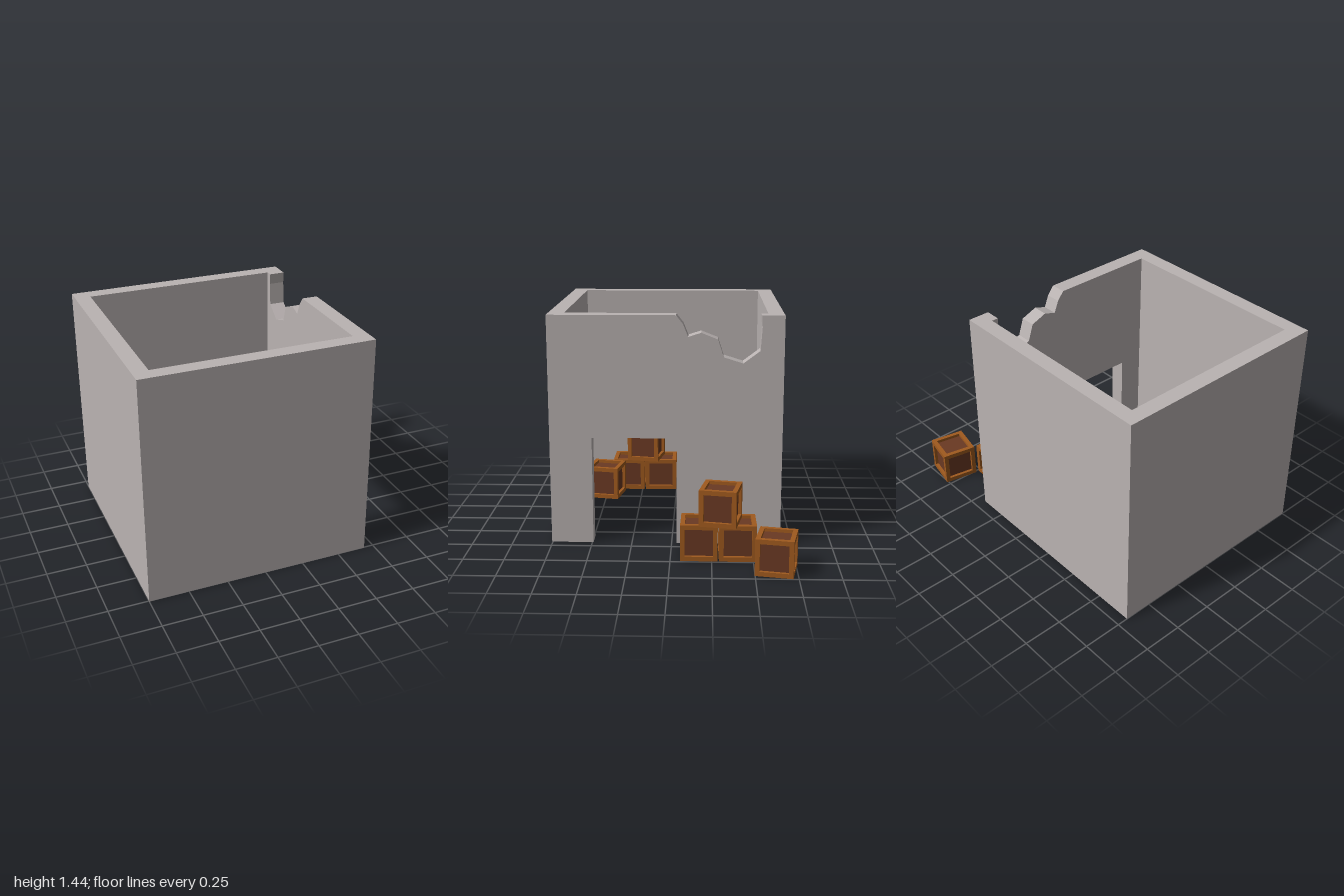
import * as THREE from 'three';

const H = 1.44; // wall height
const SIZE = 0.225, BEAM = 0.028, INSET = 0.02; // crate dimensions

const mat = (name, color) => {
  const m = new THREE.MeshStandardMaterial({ color });
  m.name = name;
  return m;
};

const shapeOf = (pts) => new THREE.Shape(pts.map(([x, y]) => new THREE.Vector2(x, y)));

const extrude = (pts, depth) =>
  new THREE.ExtrudeGeometry(shapeOf(pts), { depth, bevelEnabled: false });

function addMesh(parent, name, geometry, material) {
  const mesh = new THREE.Mesh(geometry, material);
  mesh.name = name;
  parent.add(mesh);
  return mesh;
}

// Crate: recessed panel core inside a frame of twelve beams
function makeCrate(panel, frame) {
  const crate = new THREE.Group();
  const core = SIZE - 2 * INSET, inner = SIZE - 2 * BEAM, o = (SIZE - BEAM) / 2;
  addMesh(crate, 'cratePanels', new THREE.BoxGeometry(core, core, core), panel);
  const upright = new THREE.BoxGeometry(BEAM, SIZE, BEAM);
  const railX = new THREE.BoxGeometry(inner, BEAM, BEAM);
  const railZ = new THREE.BoxGeometry(BEAM, BEAM, inner);
  for (const a of [-o, o]) {
    for (const b of [-o, o]) {
      addMesh(crate, 'crateUpright', upright, frame).position.set(a, 0, b);
      addMesh(crate, 'crateRailAcross', railX, frame).position.set(0, a, b);
      addMesh(crate, 'crateRailAlong', railZ, frame).position.set(a, b, 0);
    }
  }
  return crate;
}

export function createModel() {
  const stone = mat('wallGrey', 0xbab3b2);
  const panel = mat('darkWood', 0x6a3923);
  const frame = mat('frameWood', 0xa05a1e);
  const model = new THREE.Group();
  model.name = 'ruinedRoomWithCrates';

  // Front, left-hand and back walls as one U plan, points are (x, -z)
  const u = extrude([
    [0.335, -0.755], [0.335, -0.657], [-0.902, -0.657], [-0.902, 0.583],
    [0.335, 0.583], [0.335, 0.68], [-1, 0.68], [-1, -0.755],
  ], H);
  u.rotateX(-Math.PI / 2);
  addMesh(model, 'threeWalls', u, stone);

  // Wall with doorway and broken top edge, points are (-z, y)
  const side = extrude([
    [-0.755, 0], [-0.493, 0], [-0.493, 0.68], [0.032, 0.68], [0.032, 0],
    [0.68, 0], [0.68, H],
    [0.54, H], [0.545, 1.37], [0.535, 1.227], [0.433, 1.15], [0.315, 1.187],
    [0.28, 1.295], [0.178, 1.335], [0.1, 1.31], [0.07, 1.385], [0.027, H],
    [-0.755, H],
  ], 0.1);
  side.rotateY(Math.PI / 2).translate(0.335, 0, 0);
  addMesh(model, 'doorWall', side, stone);

  // Crates outside and inside: x, level, z, turn
  const crates = [
    [0.628, 0, -0.405, 0.01], [0.626, 0, -0.174, -0.015],
    [0.673, 1, -0.302, -0.19], [0.866, 0, -0.628, -0.19],
    [-0.786, 0, 0.116, 0.01], [-0.788, 0, 0.347, -0.015],
    [-0.741, 1, 0.224, -0.19], [-0.56, 0, 0.503, -0.19],
  ];
  crates.forEach(([x, level, z, turn], i) => {
    const crate = makeCrate(panel, frame);
    crate.name = `crate${i + 1}`;
    crate.position.set(x, SIZE / 2 + level * 0.228, z);
    crate.rotation.y = turn;
    model.add(crate);
  });
  return model;
}
